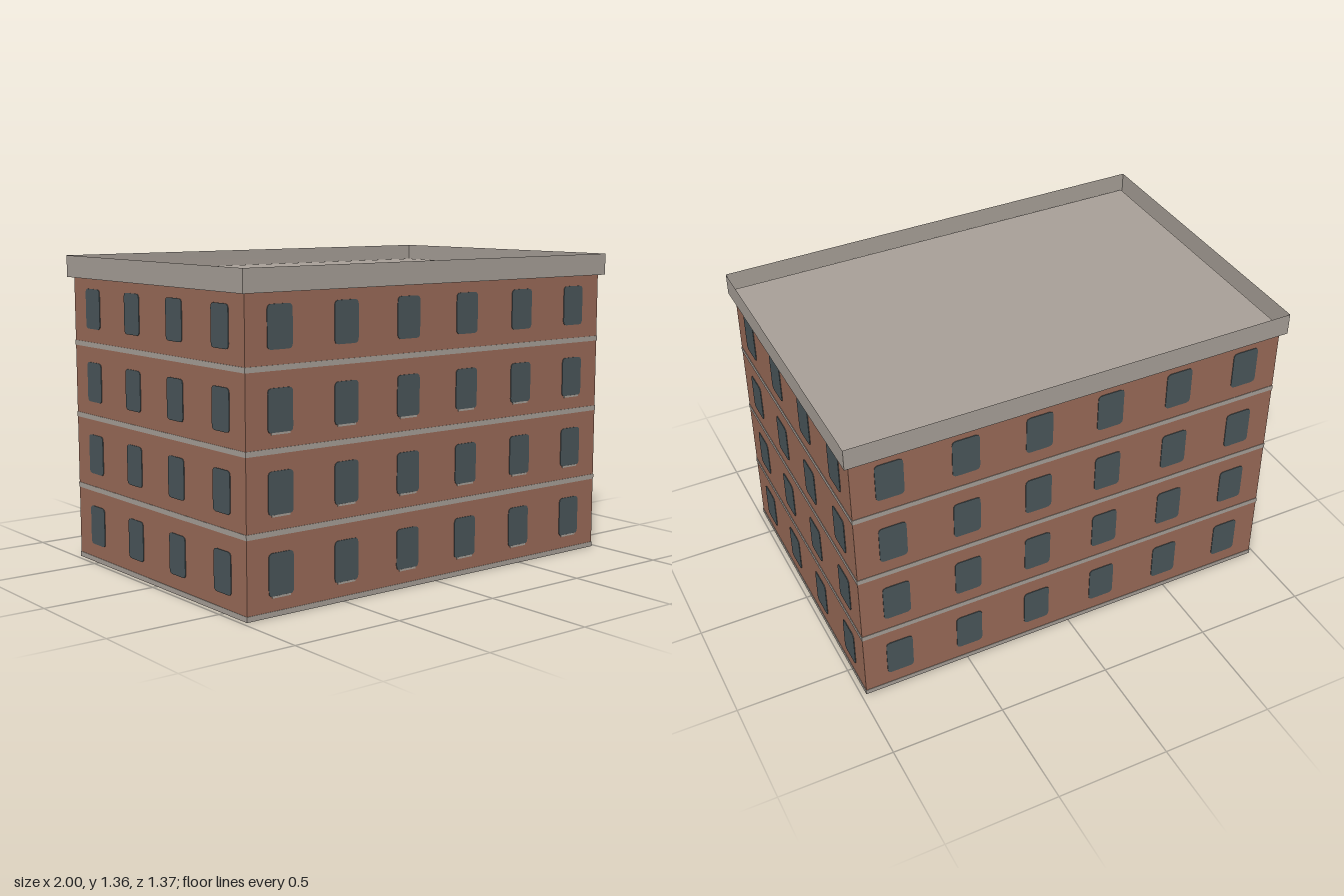
import * as THREE from 'three';

const mat = (name, color) => {
  const m = new THREE.MeshStandardMaterial({ color, side: THREE.DoubleSide });
  m.name = name;
  return m;
};

// Footprints as [x, z] corners; the front edge runs very slightly askew.
const WALL = [[-0.977, 0.66], [0.977, 0.65], [0.977, -0.66], [-0.977, -0.66]];
const CORNICE = [[-1, 0.684], [1, 0.672], [1, -0.684], [-1, -0.684]];
const ROOF_Y = 1.29, LEDGE_Y = 1.265, TOP_Y = 1.36;
const FLOOR = 0.3215, FLOORS = 4;

const outline = (pts) => pts.map(([x, z]) => new THREE.Vector2(x, -z));

function flat(name, shape, y, material) {
  const mesh = new THREE.Mesh(new THREE.ShapeGeometry(shape).rotateX(-Math.PI / 2), material);
  mesh.name = name;
  mesh.position.y = y;
  return mesh;
}

// Group centred on one footprint edge: x along the edge, z outward
function sideFrame(name, a, b) {
  const g = new THREE.Group();
  g.name = name;
  g.position.set((a[0] + b[0]) / 2, 0, (a[1] + b[1]) / 2);
  g.rotation.y = Math.atan2(a[1] - b[1], b[0] - a[0]);
  return { g, length: Math.hypot(b[0] - a[0], b[1] - a[1]) };
}

function windowGeometry(w, h, r, depth) {
  const x = w / 2, y = h / 2;
  const s = new THREE.Shape();
  s.moveTo(-x + r, -y);
  s.lineTo(x - r, -y);
  s.quadraticCurveTo(x, -y, x, -y + r);
  s.lineTo(x, y - r);
  s.quadraticCurveTo(x, y, x - r, y);
  s.lineTo(-x + r, y);
  s.quadraticCurveTo(-x, y, -x, y - r);
  s.lineTo(-x, -y + r);
  s.quadraticCurveTo(-x, -y, -x + r, -y);
  return new THREE.ExtrudeGeometry(s, { depth, bevelEnabled: false, curveSegments: 4 })
    .translate(0, 0, -depth / 2);
}

export function createModel() {
  const model = new THREE.Group();
  model.name = 'apartmentBlock';
  const brick = mat('brick', 0x9a6b58);
  const stone = mat('stone', 0xa8a098);
  const glass = mat('glass', 0x4a565a);

  const add = (parent, name, geometry, material, x, y, z = 0) => {
    const mesh = new THREE.Mesh(geometry, material);
    mesh.name = name;
    mesh.position.set(x, y, z);
    parent.add(mesh);
  };

  const windowGeo = windowGeometry(0.12, 0.174, 0.02, 0.006);
  const sillGeo = new THREE.BoxGeometry(0.09, 0.008, 0.007);

  ['front', 'left', 'back', 'right'].forEach((side, i) => {
    const j = (i + 1) % 4;

    // Wall sheet, open underneath
    const { g, length } = sideFrame(side + 'Wall', WALL[i], WALL[j]);
    add(g, 'brickwork', new THREE.PlaneGeometry(length, ROOF_Y), brick, 0, ROOF_Y / 2);

    // Stone course at the foot of each storey, windows above it
    const count = i % 2 ? 4 : 6;
    const pitch = length / count;
    for (let f = 0; f < FLOORS; f++) {
      add(g, 'stoneCourse', new THREE.BoxGeometry(length + 0.004, 0.022, 0.004), stone,
        0, 0.011 + f * FLOOR);
      for (let k = 0; k < count; k++) {
        const x = (k - (count - 1) / 2) * pitch;
        const y = 0.168 + f * FLOOR;
        add(g, 'window', windowGeo, glass, x, y);
        if (side === 'front' && f < 3) add(g, 'windowSill', sillGeo, stone, x, y - 0.089);
      }
    }
    model.add(g);

    // Thin parapet standing just outside the wall
    const p = sideFrame(side + 'Parapet', CORNICE[i], CORNICE[j]);
    add(p.g, 'parapet', new THREE.PlaneGeometry(p.length, TOP_Y - LEDGE_Y), stone,
      0, (TOP_Y + LEDGE_Y) / 2);
    model.add(p.g);
  });

  // Roof deck and the ledge joining wall to parapet
  model.add(flat('roof', new THREE.Shape(outline(WALL)), ROOF_Y, stone));
  const ring = new THREE.Shape(outline(CORNICE));
  ring.holes.push(new THREE.Path(outline(WALL)));
  model.add(flat('corniceLedge', ring, LEDGE_Y, stone));

  return model;
}
